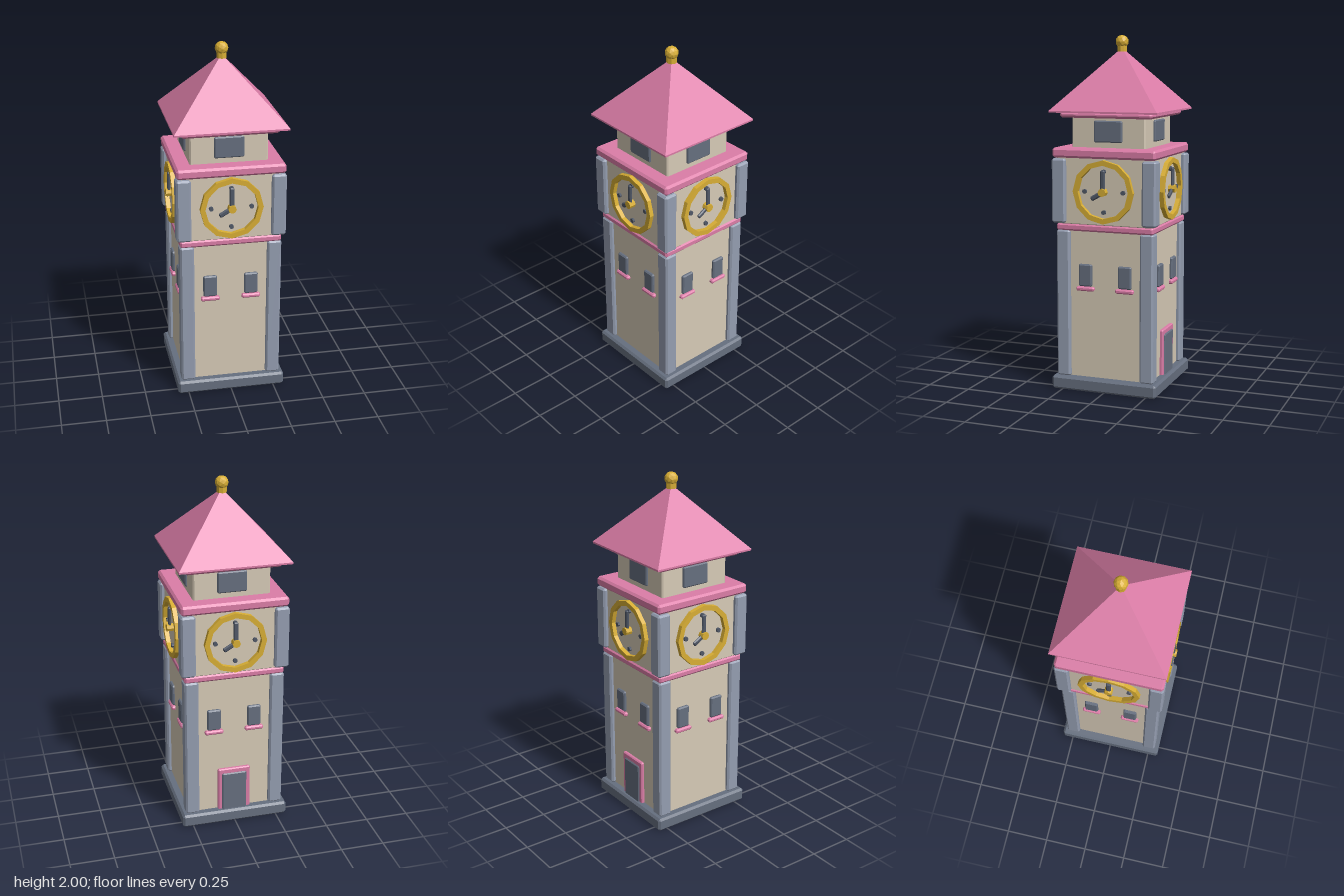
import * as THREE from 'three';
import { ConvexGeometry } from 'three/addons/geometries/ConvexGeometry.js';

const paint = (name, color) => {
  const m = new THREE.MeshStandardMaterial({ color });
  m.name = name;
  return m;
};

// Faceted normals for low-poly shapes
function flat(geo) {
  const g = geo.index ? geo.toNonIndexed() : geo;
  g.computeVertexNormals();
  return g;
}

// Box with single chamfers on every edge
function bevelBox(w, h, d, b) {
  const points = [];
  for (const x of [-1, 1]) for (const y of [-1, 1]) for (const z of [-1, 1]) {
    for (let axis = 0; axis < 3; axis++) {
      const p = [w / 2, h / 2, d / 2].map((v, i) => (i === axis ? v : v - b));
      points.push(new THREE.Vector3(x * p[0], y * p[1], z * p[2]));
    }
  }
  return new ConvexGeometry(points);
}

function polygon(Type, radius, sides) {
  const shape = new Type();
  for (let i = 0; i < sides; i++) {
    const a = (i / sides) * Math.PI * 2;
    shape[i ? 'lineTo' : 'moveTo'](radius * Math.cos(a), radius * Math.sin(a));
  }
  shape.closePath();
  return shape;
}

export function createModel() {
  const cream = paint('cream wall', 0xd6cab6);
  const stone = paint('grey stone', 0x949db0);
  const slate = paint('dark slate', 0x666f7f);
  const iron = paint('dark iron', 0x505867);
  const pink = paint('pink trim', 0xdb7da7);
  const gold = paint('gold', 0xd8ae35);

  const tower = new THREE.Group();
  tower.name = 'clockTower';

  function add(parent, name, geo, mat, x = 0, y = 0, z = 0) {
    const mesh = new THREE.Mesh(geo, mat);
    mesh.name = name;
    mesh.position.set(x, y, z);
    parent.add(mesh);
    return mesh;
  }
  // Chamfered box given by its bottom and top heights
  const block = (parent, name, mat, w, y0, y1, d, x = 0, z = 0, b = 0.008) =>
    add(parent, name, bevelBox(w, y1 - y0, d, b), mat, x, (y0 + y1) / 2, z);

  // Stacked storeys and bands
  block(tower, 'base', slate, 0.624, 0, 0.077, 0.624, 0, 0, 0.012);
  block(tower, 'lowerWall', cream, 0.53, 0.05, 0.93, 0.53);
  block(tower, 'lowerBand', pink, 0.574, 0.915, 0.956, 0.574, 0, 0, 0.01);
  block(tower, 'clockRoomWall', cream, 0.566, 0.95, 1.34, 0.566);
  block(tower, 'upperBand', pink, 0.608, 1.325, 1.38, 0.608, 0, 0, 0.012);
  block(tower, 'belfryWall', cream, 0.436, 1.37, 1.56, 0.436);
  block(tower, 'cornice', pink, 0.54, 1.545, 1.577, 0.54, 0, 0, 0.012);

  // Corner pillars of both storeys
  for (const sx of [-1, 1]) for (const sz of [-1, 1]) {
    block(tower, 'lowerPillar', stone, 0.08, 0.075, 0.918, 0.08, sx * 0.248, sz * 0.248, 0.01);
    block(tower, 'upperPillar', stone, 0.082, 0.96, 1.32, 0.082, sx * 0.266, sz * 0.266, 0.01);
  }

  // Pyramid roof with a thin eave, and finial
  add(tower, 'eave', new THREE.BoxGeometry(0.63, 0.01, 0.63), pink, 0, 1.579, 0);
  const roof = flat(new THREE.ConeGeometry(0.315 * Math.SQRT2, 0.344, 4).rotateY(Math.PI / 4));
  add(tower, 'roof', roof, pink, 0, 1.584 + 0.172, 0);
  add(tower, 'finialNeck', flat(new THREE.CylinderGeometry(0.029, 0.029, 0.034, 8)), gold, 0, 1.925, 0);
  add(tower, 'finialBall', flat(new THREE.IcosahedronGeometry(0.038, 1)), gold, 0, 1.962, 0);

  // Clock parts, facing +z
  const ringShape = polygon(THREE.Shape, 0.177, 12);
  ringShape.holes.push(polygon(THREE.Path, 0.148, 12));
  const ringGeo = new THREE.ExtrudeGeometry(ringShape, { depth: 0.03, bevelEnabled: false });
  const disc = (r, depth, sides) =>
    flat(new THREE.CylinderGeometry(r, r, depth, sides).rotateX(Math.PI / 2));
  const hand = (length) => bevelBox(0.027, length, 0.016, 0.006).translate(0, length / 2, 0);

  function clock() {
    const g = new THREE.Group();
    g.name = 'clock';
    add(g, 'clockRing', ringGeo, gold, 0, 0, -0.005);
    for (let i = 0; i < 4; i++) {
      const a = (i * Math.PI) / 2;
      add(g, 'hourDot', disc(0.013, 0.02, 8), iron, 0.113 * Math.cos(a), 0.113 * Math.sin(a), 0.003);
    }
    add(g, 'minuteHand', hand(0.122), iron, 0, 0, 0.021);
    add(g, 'hourHand', hand(0.08), iron, 0, 0, 0.02).rotation.z = (Math.PI * 2) / 3;
    add(g, 'clockHub', disc(0.023, 0.038, 8), gold, 0, 0, 0.02);
    return g;
  }

  // Details repeated on the four sides
  for (let i = 0; i < 4; i++) {
    const side = new THREE.Group();
    side.name = 'sideDetails';
    side.rotation.y = (i * Math.PI) / 2;
    tower.add(side);
    for (const s of [-1, 1]) {
      block(side, 'window', slate, 0.078, 0.602, 0.728, 0.03, s * 0.117, 0.266, 0.007);
      block(side, 'windowSill', pink, 0.107, 0.576, 0.6, 0.05, s * 0.117, 0.262, 0.007);
    }
    block(side, 'belfryWindow', slate, 0.166, 1.41, 1.53, 0.03, 0, 0.215, 0.006);
    const face = clock();
    face.position.set(0, 1.142, 0.283);
    side.add(face);
  }

  // Back door with its frame
  block(tower, 'doorFrame', pink, 0.19, 0.07, 0.34, 0.04, 0, -0.263, 0.006);
  block(tower, 'door', slate, 0.145, 0.07, 0.312, 0.04, 0, -0.27, 0.006);

  return tower;
}
